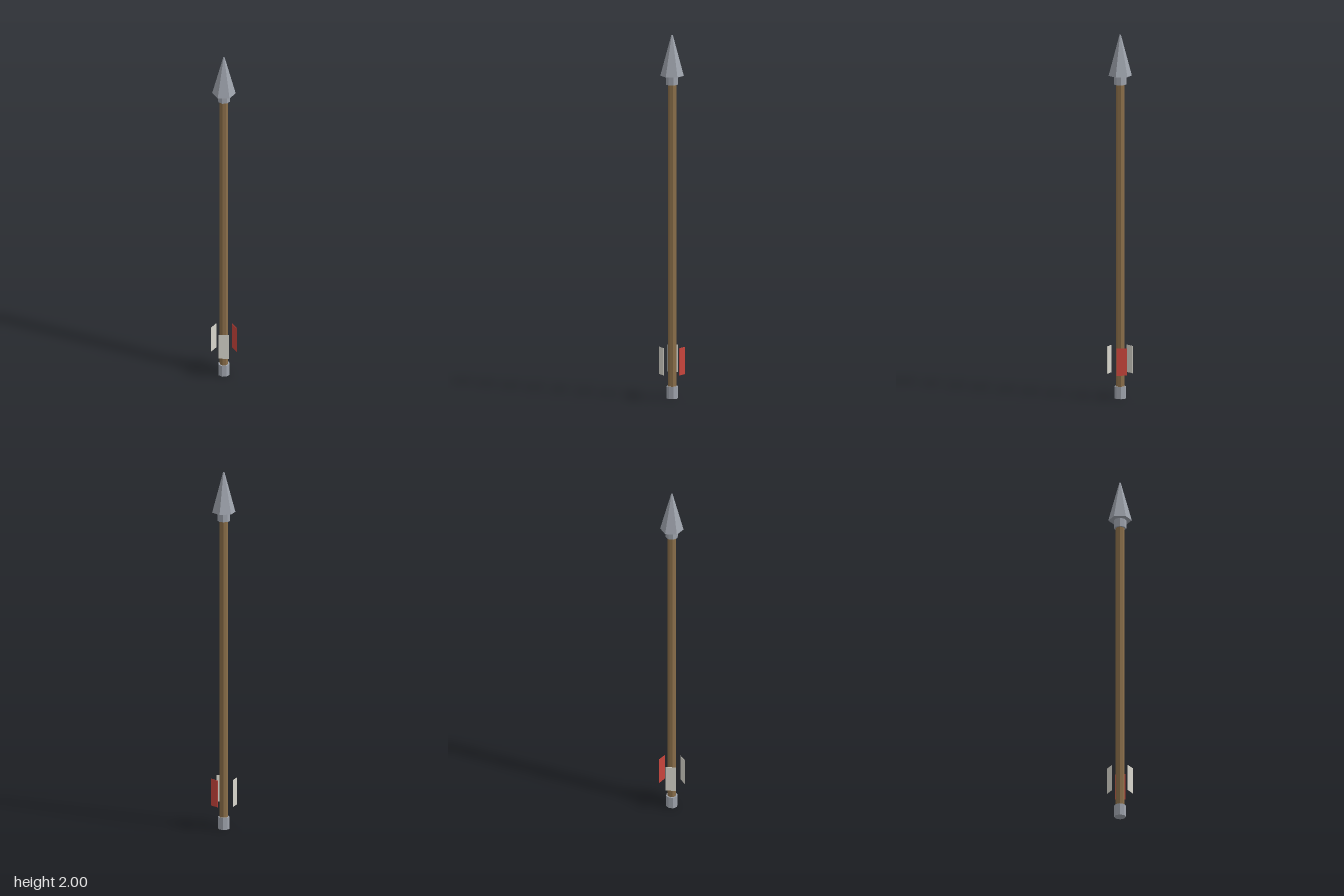
import * as THREE from 'three';

const material = (color) => new THREE.MeshStandardMaterial({ color, flatShading: true });

export function createModel() {
  const model = new THREE.Group();
  model.name = 'arrow';
  const wood = material(0x8b6f4a);
  const steel = material(0x9fa4ad);
  const red = material(0xc8443c);
  const pale = material(0xd8d6cc);

  // Faceted round part spanning two heights
  const addRound = (name, mat, topRadius, bottomRadius, y0, y1, sides) => {
    const mesh = new THREE.Mesh(new THREE.CylinderGeometry(topRadius, bottomRadius, y1 - y0, sides), mat);
    mesh.name = name;
    mesh.position.y = (y0 + y1) / 2;
    model.add(mesh);
  };

  addRound('shaft', wood, 0.024, 0.024, 0.03, 1.76, 8);
  addRound('nock', steel, 0.032, 0.032, 0, 0.067, 8);
  addRound('headCollar', steel, 0.034, 0.034, 1.727, 1.778, 8);
  addRound('arrowHead', steel, 0.004, 0.064, 1.775, 2, 6);

  // Three thin vanes standing around the shaft, one of them red
  for (let i = 0; i < 3; i++) {
    const angle = (i * Math.PI * 2) / 3;
    const vane = new THREE.Mesh(new THREE.BoxGeometry(0.002, 0.15, 0.057), i === 0 ? red : pale);
    vane.name = `vane${i + 1}`;
    vane.position.set(Math.cos(angle) * 0.065, 0.21, -Math.sin(angle) * 0.065);
    vane.rotation.y = angle;
    model.add(vane);
  }

  // The uneven vane ring shifts the axis slightly off the centre
  model.children.forEach((part) => { part.position.x -= 0.004; });
  return model;
}
